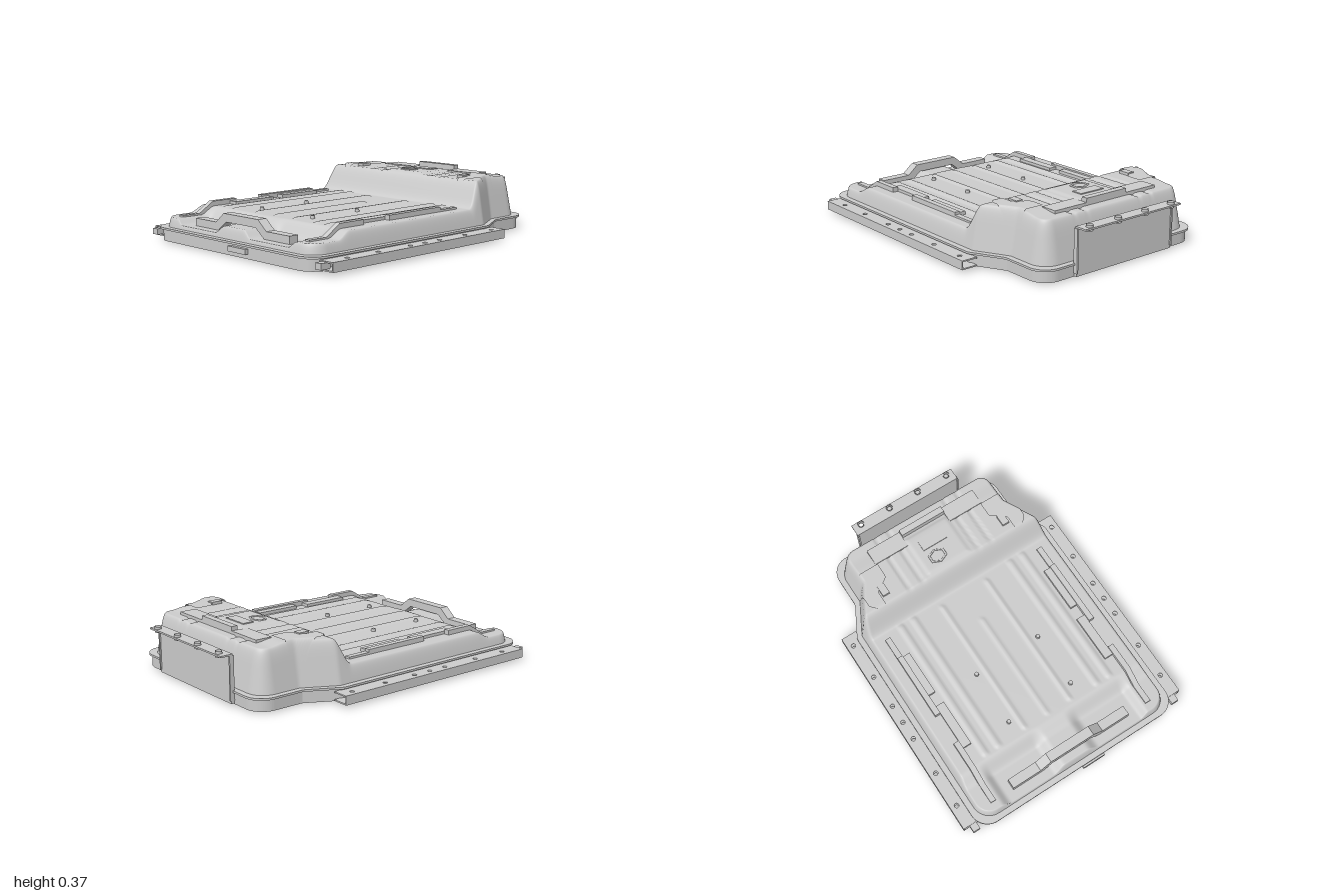
import * as THREE from 'three';

const grey = new THREE.MeshStandardMaterial({ color: 0xcccccc, side: THREE.DoubleSide });
const { smoothstep, lerp } = THREE.MathUtils;
const step = (a, b, x) => smoothstep(x, a, b);

function add(group, name, geometry, x = 0, y = 0, z = 0) {
  const mesh = new THREE.Mesh(geometry, grey);
  mesh.name = name;
  mesh.position.set(x, y, z);
  group.add(mesh);
  return mesh;
}

// box given by its limits
function block(group, name, x0, x1, y0, y1, z0, z1) {
  return add(group, name, new THREE.BoxGeometry(x1 - x0, y1 - y0, Math.abs(z1 - z0)),
    (x0 + x1) / 2, (y0 + y1) / 2, (z0 + z1) / 2);
}

const toShape = pts => new THREE.Shape(pts.map(p => new THREE.Vector2(...p)));
const extrude = (shape, depth) =>
  new THREE.ExtrudeGeometry(shape, { depth, bevelEnabled: false, curveSegments: 8 });

// flat plate drawn in x, z with optional round holes [x, z, radius]
function plate(pts, depth, holes = []) {
  const shape = toShape(pts);
  for (const [x, z, r] of holes) shape.holes.push(new THREE.Path().absarc(x, z, r, 0, Math.PI * 2, true));
  return extrude(shape, depth).rotateX(Math.PI / 2);
}
const rect = (x0, x1, z0, z1) => [[x0, z0], [x1, z0], [x1, z1], [x0, z1]];

// plan outline shared by tub, lip and lid: wide body, narrower raised end, round corners
const X0 = -0.99, X1 = 0.925, R = 0.11;
const sideWidth = (x, inset) => lerp(0.695, 0.59, THREE.MathUtils.clamp((x - 0.42) / 0.2, 0, 1)) - inset;
function halfWidth(x, inset) {
  const q = Math.max(0, R - Math.min(x - X0 - inset, X1 - inset - x));
  return sideWidth(x, inset) - R + Math.sqrt(Math.max(0, R * R - q * q));
}
function outline(inset) {
  const a = [], n = 120;
  for (let i = 0; i <= n; i++) {
    const x = lerp(X0 + inset, X1 - inset, 0.5 - 0.5 * Math.cos(Math.PI * i / n));
    a.push([x, halfWidth(x, inset)]);
  }
  return [...a, ...a.map(([x, z]) => [x, -z]).reverse()];
}

// lid surface height: stepped decks, ribs and walls that round over into the decks
const LID = 0.035, BASE = 0.085;
const ribs = [[0, 0.012, -0.65, 0.1], [0.16, 0.014, -0.65, 0.3], [0.35, 0.018, -0.66, 0.33], [0.44, 0.018, -0.66, 0.33]];
function deckHeight(x, z) {
  const az = Math.abs(z);
  const pocket = 0.11 + 0.045 * (1 - step(0.08, 0.16, az)) + 0.035 * step(0.46, 0.52, az);
  let h = lerp(pocket, 0.188, step(-0.76, -0.66, x));
  for (const [rz, w, a, b] of ribs)
    h += 0.009 * (1 - step(w * 0.4, w * 1.5, Math.abs(az - rz))) * step(a, a + 0.03, x) * (1 - step(b - 0.03, b, x));
  h = lerp(h, 0.343, step(0.32, 0.43, x));
  h -= 0.012 * step(0.67, 0.78, x);
  // raised service pad and shallow cross grooves on the high deck
  const pad = Math.max(Math.abs(x - 0.58) / 0.14, Math.abs(z) / 0.15);
  h += 0.008 * (1 - step(0.88, 1.05, pad));
  const groove = Math.min(Math.abs(az - 0.2), Math.abs(az - 0.29));
  return h - 0.007 * (1 - step(0.008, 0.02, groove)) * step(0.4, 0.46, x);
}
function lidHeight(x, z) {
  const dx = Math.min(x - X0 - LID, X1 - LID - x), dz = sideWidth(x, LID) - Math.abs(z);
  const qx = R - dx, qz = R - dz;
  const d = qx > 0 && qz > 0 ? R - Math.hypot(qx, qz) : Math.min(dx, dz);
  const wall = BASE + Math.max(0, d) * 5.5, top = deckHeight(x, z);
  const k = Math.min(0.09, (top - BASE) * 0.8), t = Math.max(0, k - Math.abs(wall - top)) / k;
  return Math.max(BASE, Math.min(wall, top) - t * t * k / 4);
}

// grid surface from a rule (u, v) -> [x, y, z]
function surface(nu, nv, f) {
  const pos = [], idx = [];
  for (let i = 0; i <= nu; i++) for (let j = 0; j <= nv; j++) pos.push(...f(i / nu, j / nv));
  for (let i = 0; i < nu; i++) for (let j = 0; j < nv; j++) {
    const a = i * (nv + 1) + j, b = a + nv + 1;
    idx.push(a, a + 1, b, b, a + 1, b + 1);
  }
  const g = new THREE.BufferGeometry();
  g.setAttribute('position', new THREE.Float32BufferAttribute(pos, 3));
  g.setIndex(idx);
  g.computeVertexNormals();
  return g;
}
const ease = t => 0.35 * t + 0.65 * (0.5 - 0.5 * Math.cos(Math.PI * t));

export function createModel() {
  const model = new THREE.Group();
  model.name = 'batteryPack';

  // tub, sealing lip and lid
  add(model, 'tub', plate(outline(0.012), 0.068), 0, 0.076, 0);
  add(model, 'sealingLip', plate(outline(0), 0.012), 0, 0.088, 0);
  add(model, 'lid', surface(200, 150, (u, v) => {
    const x = lerp(X0 + LID, X1 - LID, ease(u));
    const z = halfWidth(x, LID) * (2 * ease(v) - 1);
    return [x, lidHeight(x, z) , z];
  }));

  // studs on the lid, drain plugs under the floor
  for (const x of [-0.55, -0.2]) for (const z of [-0.22, 0.22]) {
    add(model, 'stud', new THREE.CylinderGeometry(0.012, 0.014, 0.02, 12), x, 0.195, z);
    add(model, 'floorPlug', new THREE.CylinderGeometry(0.03, 0.026, 0.01, 20), x, 0.005, z);
  }
  const cover = [];
  for (let i = 0; i < 24; i++) {
    const a = i / 24 * Math.PI * 2, p = t => Math.sign(t) * Math.sqrt(Math.abs(t));
    cover.push([-0.86 + 0.08 * p(Math.cos(a)), -0.3 + 0.16 * p(Math.sin(a))]);
  }
  add(model, 'floorCover', plate(cover, 0.006), 0, 0.01, 0);

  const holeX = [-0.78, -0.55, -0.3, -0.18, -0.06, 0.16, 0.4];
  for (const s of [-1, 1]) {
    const side = new THREE.Group();
    side.name = s > 0 ? 'frontSide' : 'backSide';
    model.add(side);

    // side mounting channel
    const holes = holeX.map(x => [x, s * 0.735, 0.014]);
    add(side, 'mountingPlate', plate(rect(-0.92, 0.475, s * 0.675, s * 0.775), 0.008, holes), 0, 0.07, 0);
    add(side, 'mountingFoot', plate(rect(-0.92, 0.475, s * 0.675, s * 0.775), 0.008, holes), 0, 0.024, 0);
    block(side, 'mountingWall', -0.92, 0.475, 0.016, 0.07, s * 0.768, s * 0.775);
    block(side, 'mountingEndTab', -0.965, -0.9, 0.03, 0.065, s * 0.69, s * 0.735);

    // stepped rail along the lid edge
    const rail = (name, pts, z, w) =>
      add(side, name, extrude(toShape(pts), w), 0, 0, s * z - w / 2);
    rail('railEnd', [[-0.89, 0.12], [-0.76, 0.12], [-0.66, 0.18], [-0.49, 0.18], [-0.49, 0.217],
      [-0.67, 0.217], [-0.77, 0.155], [-0.89, 0.155]], 0.55, 0.035);
    rail('railJog', [[-0.54, 0.17], [-0.24, 0.17], [-0.24, 0.206], [-0.54, 0.206]], 0.505, 0.055);
    rail('railMiddle', [[-0.29, 0.17], [0.28, 0.17], [0.28, 0.2], [0.135, 0.2], [0.135, 0.217], [-0.29, 0.217]], 0.55, 0.035);
    rail('railTab', [[-0.16, 0.17], [0.13, 0.17], [0.13, 0.208], [-0.16, 0.208]], 0.51, 0.045);

    // shoulder pad that follows the lid
    add(side, 'shoulderPad', surface(24, 24, (u, v) => {
      const x = lerp(0.4, 0.67, u);
      const inner = lerp(0.46, 0.37, step(0.5, 0.58, x)), outer = lerp(0.5, 0.555, step(0.39, 0.47, x));
      const z = lerp(inner, outer, s > 0 ? v : 1 - v) * s;
      return [x, lidHeight(x, z) + 0.01, z];
    }));
    block(side, 'shoulderClip', 0.47, 0.54, 0.34, 0.36, s * 0.405, s * 0.45);
    block(side, 'deckPad', 0.675, 0.78, 0.325, 0.348, s * 0.15, s * 0.38);
  }

  // cross bars on both decks
  const bar = toShape([[-0.41, 0.11], [-0.2, 0.11], [-0.13, 0.165], [0.13, 0.165], [0.2, 0.11], [0.41, 0.11],
    [0.41, 0.155], [0.22, 0.155], [0.15, 0.213], [-0.15, 0.213], [-0.22, 0.155], [-0.41, 0.155]]);
  add(model, 'lowCrossBar', extrude(bar, 0.06).rotateY(Math.PI / 2), -0.89, 0, 0);
  block(model, 'highCrossBar', 0.74, 0.78, 0.325, 0.373, -0.15, 0.15);

  // service opening details on the high deck
  const ring = add(model, 'servicePort', new THREE.TorusGeometry(0.042, 0.006, 8, 6).rotateX(Math.PI / 2), 0.52, 0.352, -0.035);
  ring.scale.z = 1.3;
  block(model, 'servicePlug', 0.59, 0.66, 0.335, 0.357, -0.09, 0.08);

  // end panel with bolted top bracket
  block(model, 'endPanel', 0.922, 0.934, 0.035, 0.29, -0.36, 0.36);
  block(model, 'endPanelFoot', 0.9, 0.934, 0.012, 0.035, -0.36, 0.36);
  for (const z of [-0.36, 0.36]) block(model, 'endPanelEdge', 0.915, 0.942, 0.03, 0.285, z - 0.005, z + 0.005);
  const boltZ = [-0.31, -0.105, 0.1, 0.31];
  add(model, 'endBracket', plate(rect(0.922, 1, -0.365, 0.36), 0.01, boltZ.map(z => [0.975, z, 0.013])), 0, 0.295, 0);
  for (const z of boltZ) add(model, 'endBracketNut',
    new THREE.CylinderGeometry(0.02, 0.02, 0.035, 16, 1, true), 0.975, 0.292, z);

  // connectors on the low end
  block(model, 'connector', -1, -0.97, 0.035, 0.065, 0.02, 0.17);
  return model;
}
